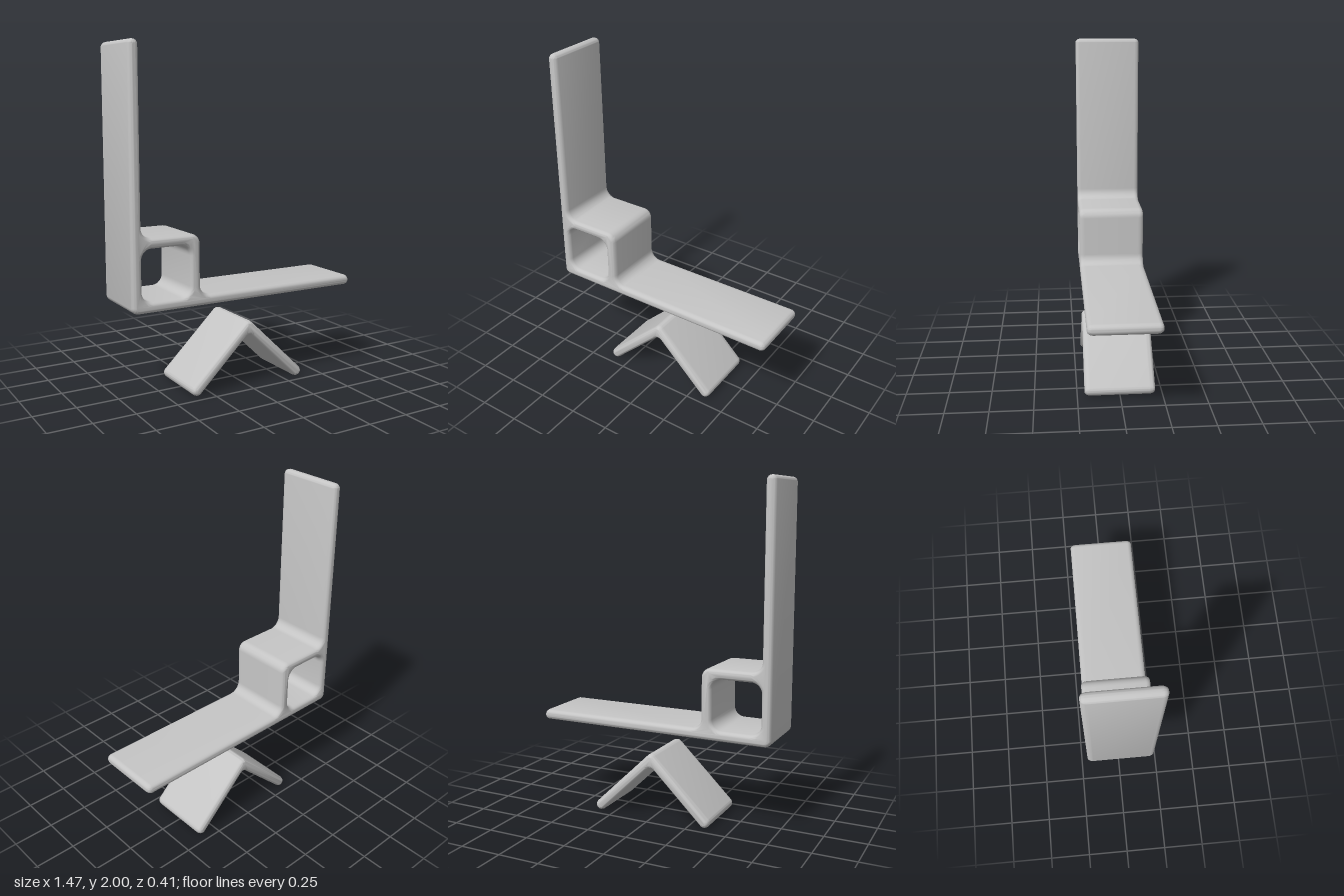
import * as THREE from 'three';
import { toCreasedNormals } from 'three/addons/utils/BufferGeometryUtils.js';

// Traces a closed polygon of [x, y, cornerRadius] points with rounded corners
function roundedPath(path, points) {
  const n = points.length;
  points.forEach(([x, y, r], i) => {
    const p = new THREE.Vector2(x, y);
    const [ax, ay] = points[(i + n - 1) % n];
    const [bx, by] = points[(i + 1) % n];
    const u = new THREE.Vector2(ax - x, ay - y).normalize();
    const v = new THREE.Vector2(bx - x, by - y).normalize();
    const turn = Math.PI - Math.acos(THREE.MathUtils.clamp(u.dot(v), -1, 1));
    const t = r * Math.tan(turn / 2);
    const k = t - (4 / 3) * r * Math.tan(turn / 4);
    const at = (d, s) => p.clone().addScaledVector(d, s);
    const start = at(u, t), end = at(v, t), c1 = at(u, k), c2 = at(v, k);
    if (i === 0) path.moveTo(start.x, start.y);
    else path.lineTo(start.x, start.y);
    path.bezierCurveTo(c1.x, c1.y, c2.x, c2.y, end.x, end.y);
  });
  path.closePath();
  return path;
}

// Extrudes a profile along z, centred, with soft rims that stay inside the outline
function softExtrude(name, shape, width, material) {
  const rim = 0.035, inset = 0.023;
  const geometry = new THREE.ExtrudeGeometry(shape, {
    depth: width - 2 * rim,
    curveSegments: 8,
    bevelEnabled: true,
    bevelThickness: rim,
    bevelSize: inset,
    bevelOffset: -inset,
    bevelSegments: 6,
  });
  geometry.translate(0, 0, rim - width / 2);
  const mesh = new THREE.Mesh(toCreasedNormals(geometry, 0.8), material);
  mesh.name = name;
  return mesh;
}

export function createModel() {
  const group = new THREE.Group();
  group.name = 'bracketAndStand';
  const grey = new THREE.MeshStandardMaterial({ color: 0xc4c4c4 });
  grey.name = 'light grey';

  // Upright and base planks joined by a hollow square box
  const bracket = roundedPath(new THREE.Shape(), [
    [-0.738, 0.53, 0.04],
    [0.735, 0.53, 0.03],
    [0.735, 0.592, 0.03],
    [-0.32, 0.592, 0.06],
    [-0.32, 0.946, 0.055],
    [-0.678, 0.946, 0.06],
    [-0.678, 2.0, 0.029],
    [-0.738, 2.0, 0.029],
  ]);
  bracket.holes.push(roundedPath(new THREE.Path(), [
    [-0.678, 0.592, 0.06],
    [-0.678, 0.886, 0.06],
    [-0.384, 0.886, 0.06],
    [-0.384, 0.592, 0.06],
  ]));
  group.add(softExtrude('shelfBracket', bracket, 0.41, grey));

  // Folded stand: a mirrored bar around an apex
  const h = 0.032, apexY = 0.365, tipX = 0.343, tipY = 0.032;
  const d = new THREE.Vector2(tipX, tipY - apexY).normalize();
  const miter = h / d.x;
  const outer = [tipX + (d.x - d.y) * h, tipY + (d.y + d.x) * h];
  const inner = [tipX + (d.x + d.y) * h, tipY + (d.y - d.x) * h];
  const stand = roundedPath(new THREE.Shape(), [
    [0, apexY - miter, 0.03],
    [...inner, 0.031],
    [...outer, 0.031],
    [0, apexY + miter, 0.035],
    [-outer[0], outer[1], 0.031],
    [-inner[0], inner[1], 0.031],
  ]);
  group.add(softExtrude('foldedStand', stand, 0.415, grey));

  return group;
}
